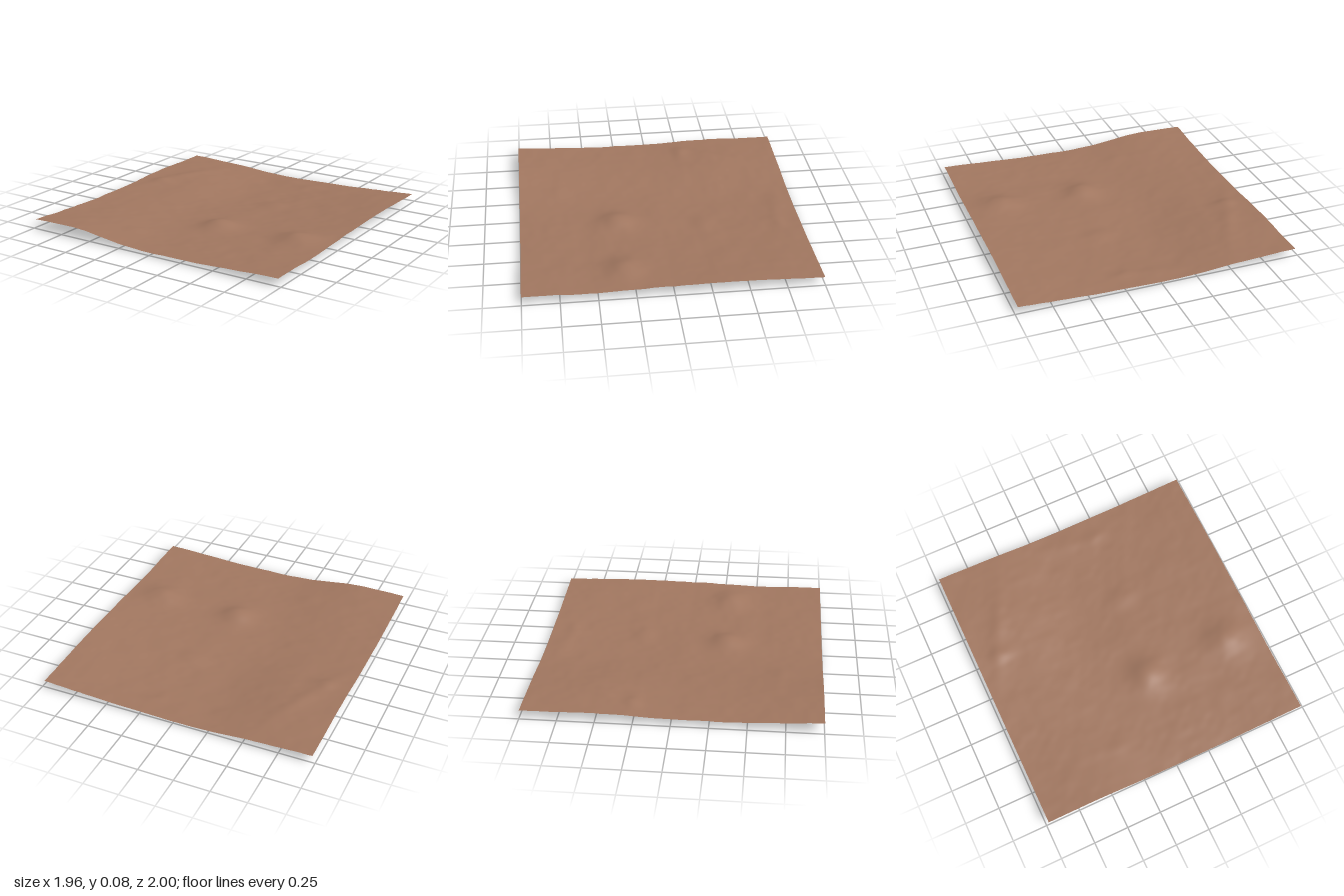
import * as THREE from 'three';

const HALF_X = 0.98, HALF_Z = 1;

// Broad heights: rows run from the back to the front, columns from -x to +x
const HEIGHTS = [
  [0.058, 0.044, 0.018, 0.020, 0.035, 0.055],
  [0.062, 0.055, 0.008, 0.014, 0.035, 0.067],
  [0.047, 0.035, 0.010, 0.018, 0.036, 0.065],
  [0.047, 0.042, 0.020, 0.024, 0.034, 0.050],
  [0.074, 0.077, 0.032, 0.027, 0.040, 0.060],
];

// Local mounds and dips: x, z, height, spread in x, spread in z
const MOUNDS = [
  [0.10, 0.31, 0.048, 0.085, 0.085], [0.72, 0.31, 0.043, 0.100, 0.085],
  [0.18, -0.30, 0.012, 0.070, 0.055], [-0.81, -0.26, 0.014, 0.070, 0.040],
  [0.00, -0.88, 0.009, 0.080, 0.050], [0.20, -0.84, 0.009, 0.070, 0.035],
  [0.62, -0.42, 0.007, 0.080, 0.060], [-0.33, 0.72, 0.007, 0.060, 0.040],
  [0.05, 0.00, 0.006, 0.150, 0.100], [0.75, -0.75, 0.005, 0.120, 0.080],
];

// Catmull-Rom sample through a row of evenly spaced values
function spline(values, t) {
  const last = values.length - 1;
  const p = Math.min(Math.max(t, 0), 1) * last;
  const i = Math.min(Math.floor(p), last - 1), f = p - i;
  const b = values[i], c = values[i + 1];
  const a = i > 0 ? values[i - 1] : 2 * b - c;
  const d = i + 2 <= last ? values[i + 2] : 2 * c - b;
  return b + 0.5 * f * (c - a + f * (2 * a - 5 * b + 4 * c - d + f * (3 * (b - c) + d - a)));
}

// Seeded smooth noise in the range -1 to 1
function hash(i, j) {
  const s = Math.sin(i * 127.1 + j * 311.7) * 43758.5453;
  return 2 * (s - Math.floor(s)) - 1;
}
function noise(x, z) {
  const i = Math.floor(x), j = Math.floor(z);
  const u = THREE.MathUtils.smootherstep(x - i, 0, 1);
  const v = THREE.MathUtils.smootherstep(z - j, 0, 1);
  const mix = THREE.MathUtils.lerp;
  return mix(mix(hash(i, j), hash(i + 1, j), u), mix(hash(i, j + 1), hash(i + 1, j + 1), u), v);
}

function heightAt(x, z) {
  const u = (x + HALF_X) / (2 * HALF_X), v = (z + HALF_Z) / (2 * HALF_Z);
  let y = spline(HEIGHTS.map((row) => spline(row, u)), v);
  for (const [mx, mz, h, sx, sz] of MOUNDS) {
    y += h * Math.exp(-0.5 * (((x - mx) / sx) ** 2 + ((z - mz) / sz) ** 2));
  }
  // Narrow slanting ridge on the left part of the back
  const along = (-z - 0.2) / 0.6;
  const ridgeX = -0.84 + 0.25 * along;
  y += 0.009 * Math.exp(-0.5 * ((x - ridgeX) / 0.045) ** 2 - 2.5 * (along - 0.45) ** 2);
  // Fine ground roughness
  return y + 0.0025 * noise(x * 7 + 3, z * 9) + 0.0012 * noise(x * 17, z * 20 + 5);
}

export function createModel() {
  const group = new THREE.Group();
  group.name = 'terrainPatch';

  const earth = new THREE.MeshStandardMaterial({ color: 0xa0765f, side: THREE.DoubleSide });
  earth.name = 'reddish brown earth';

  // Ground sheet, a plane raised by the height rule
  const geometry = new THREE.PlaneGeometry(2 * HALF_X, 2 * HALF_Z, 120, 120);
  geometry.rotateX(-Math.PI / 2);
  const pos = geometry.attributes.position;
  for (let i = 0; i < pos.count; i++) pos.setY(i, heightAt(pos.getX(i), pos.getZ(i)));
  geometry.computeBoundingBox();
  geometry.translate(0, -geometry.boundingBox.min.y, 0);
  geometry.computeVertexNormals();

  const ground = new THREE.Mesh(geometry, earth);
  ground.name = 'ground';
  group.add(ground);
  return group;
}
